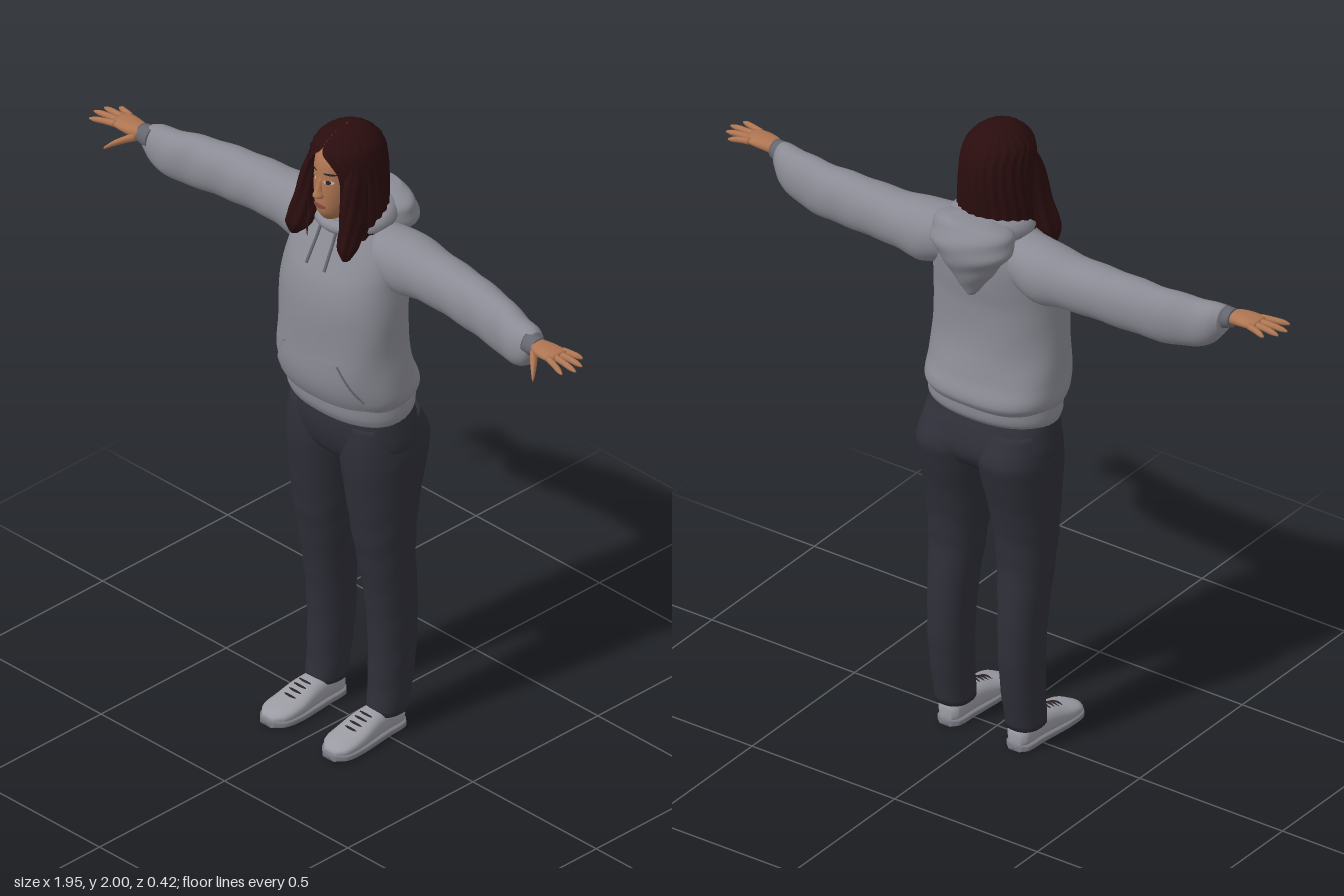
import * as THREE from 'three';

const mat = (name, color, side = THREE.FrontSide) => {
  const m = new THREE.MeshStandardMaterial({ color, side });
  m.name = name;
  return m;
};

// Smooth interpolation of section rows [key, a, b, c, d] at a given key.
function at(rows, key) {
  let i = 0;
  while (i < rows.length - 2 && key > rows[i + 1][0]) i++;
  const slope = (k, c) => {
    const p = rows[Math.max(k - 1, 0)], n = rows[Math.min(k + 1, rows.length - 1)];
    return (n[c] - p[c]) / (n[0] - p[0]);
  };
  const h = rows[i + 1][0] - rows[i][0], t = THREE.MathUtils.clamp((key - rows[i][0]) / h, 0, 1);
  return [1, 2, 3, 4].map((c) =>
    (2 * t ** 3 - 3 * t * t + 1) * rows[i][c] + (t ** 3 - 2 * t * t + t) * h * slope(i, c) +
    (3 * t * t - 2 * t ** 3) * rows[i + 1][c] + (t ** 3 - t * t) * h * slope(i + 1, c));
}

// Grid of points fn(i, j), optionally closed around j, with optional end caps.
function grid(rows, cols, fn, closed = false, caps = false) {
  const pos = [], idx = [];
  for (let i = 0; i < rows; i++) for (let j = 0; j < cols; j++) pos.push(...fn(i, j));
  for (let i = 0; i < rows - 1; i++) {
    for (let j = 0; j < (closed ? cols : cols - 1); j++) {
      const k = (j + 1) % cols, a = i * cols + j, b = i * cols + k;
      idx.push(a, a + cols, b, b, a + cols, b + cols);
    }
  }
  if (caps) {
    for (const r of [0, rows - 1]) {
      const c = pos.length / 3, mid = [0, 0, 0];
      for (let j = 0; j < cols; j++) for (let k = 0; k < 3; k++) mid[k] += pos[(r * cols + j) * 3 + k] / cols;
      pos.push(...mid);
      for (let j = 0; j < cols; j++) {
        const a = r * cols + j, b = r * cols + (j + 1) % cols;
        idx.push(c, ...(r === 0 ? [a, b] : [b, a]));
      }
    }
  }
  const g = new THREE.BufferGeometry();
  g.setAttribute('position', new THREE.Float32BufferAttribute(pos, 3));
  g.setIndex(idx);
  g.computeVertexNormals();
  return g;
}

// Loft along an axis. Rows: y -> [y, x0, x1, z0, z1], x -> [x, z0, z1, y0, y1], z -> [z, y0, y1, x0, x1].
function loft(axis, rows, { n = 2.3, sides = 32, steps = 5, fold = () => 1 } = {}) {
  const keys = [];
  rows.slice(1).forEach((r, i) => {
    for (let s = 0; s < steps; s++) keys.push(rows[i][0] + (r[0] - rows[i][0]) * s / steps);
  });
  keys.push(rows[rows.length - 1][0]);
  const pw = (v) => Math.sign(v) * Math.abs(v) ** (2 / n);
  return grid(keys.length, sides, (i, j) => {
    const k = keys[i], [u0, u1, v0, v1] = at(rows, k), a = j / sides * Math.PI * 2, f = fold(k, a);
    const u = (u0 + u1) / 2 + (u1 - u0) / 2 * pw(Math.cos(a)) * f;
    const v = (v0 + v1) / 2 + (v1 - v0) / 2 * pw(Math.sin(a)) * f;
    return axis === 'y' ? [u, k, v] : axis === 'x' ? [k, v, u] : [v, u, k];
  }, true, true);
}

// Front z of a y-loft at (x, y), used to lay details on its surface.
function frontZ(rows, x, y, n = 2.3) {
  const [x0, x1, z0, z1] = at(rows, y);
  const q = Math.min(1, Math.abs((x - (x0 + x1) / 2) / ((x1 - x0) / 2)));
  return (z0 + z1) / 2 + (z1 - z0) / 2 * (1 - q ** n) ** (1 / n);
}

// Thin patch laid on the front of a y-loft; edges(t) gives [xLeft, xRight] from top to bottom.
const patch = (rows, yTop, yBottom, edges, lift, n = 2.3) => grid(9, 15, (i, j) => {
  const t = i / 8, y = yTop + (yBottom - yTop) * t, [a, b] = edges(t), x = a + (b - a) * j / 14;
  return [x, y, frontZ(rows, x, y, n) + lift];
});

const tube = (pts, r) => new THREE.TubeGeometry(
  new THREE.CatmullRomCurve3(pts.map((p) => new THREE.Vector3(...p))), 14, r, 8);

function mirror(geo) {
  const g = geo.clone().scale(-1, 1, 1), a = g.index.array;
  for (let i = 0; i < a.length; i += 3) [a[i], a[i + 1]] = [a[i + 1], a[i]];
  g.computeVertexNormals();
  return g;
}

const TORSO = [
  [1.12, -0.2, 0.2, -0.14, 0.125], [1.16, -0.22, 0.215, -0.165, 0.15], [1.22, -0.22, 0.213, -0.145, 0.165],
  [1.32, -0.212, 0.207, -0.122, 0.165], [1.45, -0.207, 0.207, -0.12, 0.163], [1.53, -0.2, 0.2, -0.13, 0.148],
  [1.6, -0.19, 0.19, -0.135, 0.115], [1.66, -0.155, 0.155, -0.13, 0.085], [1.7, -0.095, 0.095, -0.11, 0.07]];
const HEAD = [
  [1.72, -0.026, 0.026, 0.02, 0.1], [1.75, -0.046, 0.046, -0.04, 0.118], [1.8, -0.06, 0.06, -0.08, 0.122],
  [1.86, -0.067, 0.067, -0.09, 0.118], [1.91, -0.068, 0.068, -0.09, 0.112], [1.95, -0.056, 0.056, -0.075, 0.09],
  [1.98, -0.025, 0.025, -0.04, 0.045]];
// Hair rows: [y, half opening at the face, half width, back z, front z]
const HAIR = [
  [1.6, 0.07, 0.118, -0.1, 0.125], [1.68, 0.062, 0.117, -0.11, 0.122], [1.76, 0.062, 0.113, -0.115, 0.122],
  [1.84, 0.064, 0.107, -0.118, 0.124], [1.89, 0.058, 0.103, -0.116, 0.126], [1.925, 0.036, 0.097, -0.108, 0.124],
  [1.95, 0.004, 0.088, -0.094, 0.112], [1.98, 0, 0.06, -0.06, 0.08], [1.995, 0, 0.03, -0.025, 0.045], [2.0, 0, 0.002, 0.008, 0.012]];

export function createModel() {
  const root = new THREE.Group();
  root.name = 'standingWoman';
  const M = {
    hoodie: mat('greyCotton', 0x8b8b95), rib: mat('ribbedGrey', 0x66666f), pants: mat('darkTrousers', 0x2e2f38),
    skin: mat('skin', 0xae7552), hair: mat('darkHair', 0x2a0d0e, THREE.DoubleSide), shoe: mat('shoeGrey', 0x9a9aa3),
    sole: mat('soleGrey', 0x7c7c85), dark: mat('darkDetail', 0x2a2223, THREE.DoubleSide),
    lips: mat('lips', 0x8a4b41), white: mat('eyeWhite', 0xc9bdb4)};
  const add = (name, geo, m) => {
    const mesh = new THREE.Mesh(geo, m);
    mesh.name = name;
    root.add(mesh);
  };
  const pair = (name, geo, m) => {
    add(name + 'Left', geo, m);
    add(name + 'Right', mirror(geo), m);
  };

  // Hoodie body, hem and front pocket
  const drape = (y, a) => 1 + 0.01 * Math.sin(a * 5 + y * 22) * THREE.MathUtils.clamp((1.5 - y) * 4, 0, 1);
  add('hoodieBody', loft('y', TORSO, { sides: 48, fold: drape }), M.hoodie);
  add('hoodieHem', loft('y', [[1.075, -0.2, 0.2, -0.125, 0.118], [1.1, -0.208, 0.206, -0.145, 0.13],
    [1.14, -0.207, 0.205, -0.15, 0.135]], { sides: 48 }), M.hoodie);
  const pocket = (t) => { const w = 0.105 + 0.065 * Math.min(1, t * 1.3); return [-w, w]; };
  add('pocket', patch(TORSO, 1.29, 1.14, pocket, 0.007), M.hoodie);
  const seam = [0, 0.25, 0.5, 0.77].map((t) => {
    const x = pocket(t)[1], y = 1.29 - 0.15 * t;
    return [x, y, frontZ(TORSO, x, y) + 0.005];
  });
  pair('pocketSeam', tube(seam, 0.003), M.rib);

  // Collar ring and hood hanging at the back
  add('collar', grid(48, 14, (i, j) => {
    const a = i / 47 * Math.PI * 2, b = j / 14 * Math.PI * 2, back = (1 - Math.cos(a)) / 2;
    const r = 0.02 + 0.022 * back, d = 0.078 + 0.02 * back + r * Math.cos(b);
    return [d * 1.08 * Math.sin(a), 1.685 + 0.025 * back + r * Math.sin(b), -0.005 + d * Math.cos(a)];
  }, true), M.hoodie);
  add('hood', loft('y', [[1.5, -0.015, 0.015, -0.14, -0.1], [1.55, -0.055, 0.055, -0.165, -0.07],
    [1.61, -0.095, 0.095, -0.193, -0.05], [1.66, -0.13, 0.13, -0.208, -0.04], [1.7, -0.135, 0.135, -0.2, -0.03],
    [1.73, -0.115, 0.115, -0.185, -0.05], [1.75, -0.06, 0.06, -0.17, -0.09]],
  { n: 2, fold: (y, a) => 1 + 0.025 * Math.sin(y * 90 + 3 * Math.cos(a)) }), M.hoodie);
  pair('drawstring', tube([1.69, 1.65, 1.61, 1.57].map((y, i) =>
    [0.03 + i * 0.002, y, frontZ(TORSO, 0.03, y) + 0.008]), 0.0045), M.rib);

  // Sleeves and cuffs
  pair('sleeve', loft('x', [[0.1, -0.11, 0.06, 1.54, 1.69], [0.2, -0.13, 0.05, 1.505, 1.692],
    [0.3, -0.118, 0.036, 1.515, 1.68], [0.45, -0.1, 0.034, 1.51, 1.675], [0.6, -0.075, 0.042, 1.5, 1.665],
    [0.69, -0.048, 0.06, 1.503, 1.657], [0.75, -0.03, 0.066, 1.53, 1.655], [0.78, -0.008, 0.062, 1.565, 1.648]],
  { n: 2.1, fold: (x, a) => 1 + 0.022 * Math.sin(x * 48 + 2.5 * Math.sin(a)) * Math.min(1, x * 2) }), M.hoodie);
  pair('cuff', loft('x', [[0.76, -0.004, 0.066, 1.578, 1.65], [0.78, 0, 0.066, 1.582, 1.648],
    [0.805, 0.006, 0.066, 1.59, 1.645]], { n: 2 }), M.rib);

  // Hands: palm, four spread fingers and a thumb
  pair('palm', loft('x', [[0.79, 0.014, 0.06, 1.6, 1.64], [0.82, 0.008, 0.074, 1.605, 1.643],
    [0.86, 0.003, 0.08, 1.612, 1.642], [0.892, 0.006, 0.078, 1.616, 1.638]], { sides: 20 }), M.skin);
  const fingers = [[0.011, -0.006, 0.938], [0.03, 0.025, 0.967], [0.05, 0.058, 0.975], [0.07, 0.095, 0.957]];
  fingers.forEach(([z0, z1, tip], f) => pair('finger' + (f + 1), loft('x', [0, 0.4, 0.8, 1].map((t) => {
    const x = 0.875 + (tip - 0.875) * t, z = z0 + (z1 - z0) * t, r = t === 1 ? 0.003 : 0.0105 - 0.003 * t;
    return [x, z - r, z + r, 1.628 - r - 0.006 * t * t, 1.628 + r - 0.006 * t * t];
  }), { sides: 12, n: 2 }), M.skin));
  pair('thumb', loft('x', [[0.8, 0.035, 0.068, 1.598, 1.63], [0.825, 0.062, 0.092, 1.59, 1.616],
    [0.85, 0.092, 0.113, 1.579, 1.599], [0.868, 0.118, 0.127, 1.57, 1.58]], { sides: 12, n: 2 }), M.skin);

  // Trousers
  add('hips', loft('y', [[0.895, -0.08, 0.08, -0.08, 0.04], [0.93, -0.18, 0.18, -0.135, 0.085],
    [0.98, -0.213, 0.213, -0.163, 0.106], [1.05, -0.207, 0.207, -0.148, 0.112], [1.12, -0.19, 0.19, -0.11, 0.1]],
  { n: 2.5, sides: 40 }), M.pants);
  pair('trouserLeg', loft('y', [[0.07, 0.07, 0.178, -0.09, 0.032], [0.16, 0.067, 0.18, -0.108, 0.026],
    [0.3, 0.063, 0.184, -0.125, 0.024], [0.45, 0.057, 0.189, -0.123, 0.036], [0.6, 0.043, 0.198, -0.112, 0.06],
    [0.7, 0.032, 0.203, -0.118, 0.077], [0.8, 0.02, 0.208, -0.135, 0.09], [0.92, 0.004, 0.214, -0.166, 0.104],
    [0.98, 0.002, 0.212, -0.175, 0.105], [1.06, 0.012, 0.195, -0.14, 0.1]],
  { fold: (y, a) => 1 + 0.012 * Math.sin(y * 55 + 3 * Math.sin(a)) * (y < 0.75 ? 1 : 0.3) }), M.pants);

  // Shoes with soles and laces
  const SHOE = [[-0.084, 0.012, 0.055, 0.102, 0.14], [-0.065, 0.008, 0.085, 0.084, 0.158], [0, 0.008, 0.092, 0.078, 0.164],
    [0.06, 0.008, 0.084, 0.072, 0.172], [0.12, 0.008, 0.062, 0.068, 0.178], [0.175, 0.01, 0.047, 0.076, 0.174],
    [0.205, 0.014, 0.032, 0.105, 0.148]];
  pair('shoe', loft('z', SHOE, { n: 2.5 }), M.shoe);
  pair('sole', loft('z', SHOE.map(([z, , , a, b]) => [z * 1.02, 0, 0.022, a - 0.003, b + 0.003]), { n: 5 }), M.sole);
  [0.055, 0.075, 0.095, 0.115].forEach((z, i) => {
    const top = at(SHOE, z)[1];
    pair('lace' + (i + 1), tube([[0.1, top - 0.005, z], [0.123, top, z + 0.004], [0.146, top - 0.005, z]], 0.0035), M.dark);
  });

  // Neck, head and face
  const neck = new THREE.CylinderGeometry(0.043, 0.052, 0.17, 24);
  neck.translate(0, 1.69, 0.005);
  add('neck', neck, M.skin);
  add('head', loft('y', HEAD), M.skin);
  add('nose', loft('y', [[1.797, -0.009, 0.009, 0.1, 0.128], [1.807, -0.017, 0.017, 0.1, 0.142],
    [1.825, -0.011, 0.011, 0.1, 0.137], [1.862, -0.006, 0.006, 0.1, 0.12]], { n: 2, sides: 16 }), M.skin);
  const oval = (cx, w) => (t) => {
    const h = w * Math.sqrt(Math.max(0, 1 - (2 * t - 1) ** 2));
    return [cx - h, cx + h];
  };
  pair('eyeWhite', patch(HEAD, 1.863, 1.85, oval(0.029, 0.014), 0.002), M.white);
  pair('iris', patch(HEAD, 1.864, 1.85, oval(0.029, 0.007), 0.003), M.dark);
  pair('eyebrow', patch(HEAD, 1.886, 1.879, oval(0.031, 0.018), 0.002), M.dark);
  add('lips', patch(HEAD, 1.782, 1.764, oval(0, 0.024), 0.004), M.lips);

  // Long hair parted around the face, with strand ripples and an uneven lower edge
  add('hair', grid(44, 120, (i, j) => {
    const s = j / 119, back = Math.sin(s * Math.PI);
    const y = 2 - (2 - 1.635 - 0.04 * back - 0.012 * Math.sin(j * 1.3)) * (i / 43) ** 1.5;
    const [open, w, z0, z1] = at(HAIR, y), o = Math.asin(THREE.MathUtils.clamp(open / w, 0, 1));
    const a = o + (Math.PI * 2 - 2 * o) * s, f = 1 + 0.018 * Math.sin(j * 1.05 + y * 14) * Math.min(1, i / 8);
    return [w * Math.sin(a) * f, y, (z0 + z1) / 2 + (z1 - z0) / 2 * Math.cos(a) * f];
  }), M.hair);
  const strands = { sides: 40, fold: (y, a) => 1 + 0.06 * Math.sin(a * 7 + y * 30) };
  add('frontLockLeft', loft('y', [[1.62, 0.08, 0.1, 0.09, 0.115], [1.66, 0.06, 0.115, 0.06, 0.124],
    [1.75, 0.062, 0.115, 0.02, 0.115], [1.85, 0.064, 0.104, 0.01, 0.1], [1.92, 0.055, 0.085, 0.01, 0.07]], strands), M.hair);
  add('frontLockRight', loft('y', [[1.615, -0.145, -0.115, 0.07, 0.105], [1.66, -0.157, -0.072, 0.04, 0.122],
    [1.75, -0.128, -0.062, 0.02, 0.115], [1.85, -0.104, -0.064, 0.01, 0.1], [1.92, -0.085, -0.055, 0.01, 0.07]], strands), M.hair);
  return root;
}
